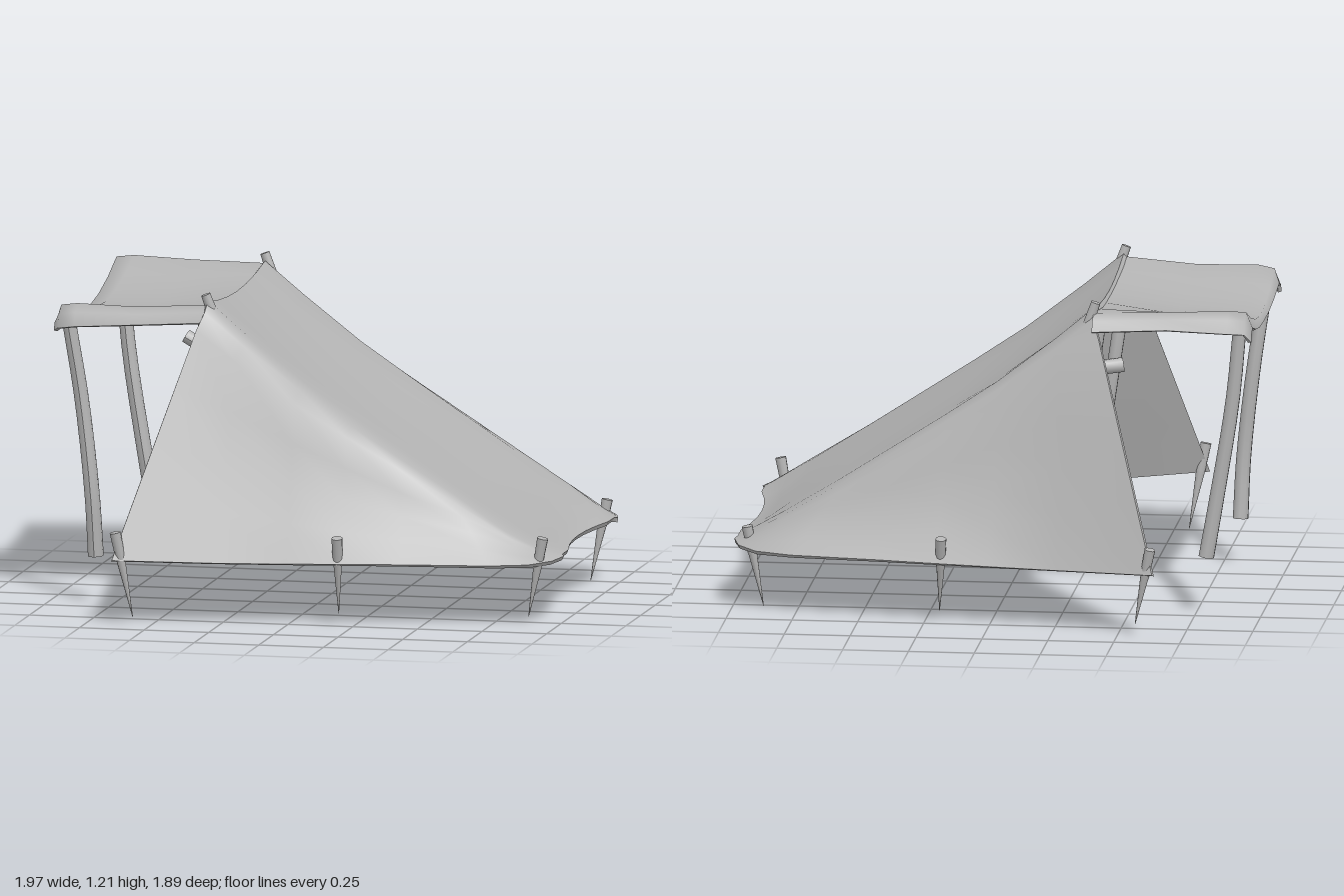
import * as THREE from 'three';

const grey = new THREE.MeshStandardMaterial({ color: 0xb4b4b4, side: THREE.DoubleSide });
grey.name = 'plain grey';
const V = (x, y, z) => new THREE.Vector3(x, y, z);

function add(parent, name, geometry) {
  const mesh = new THREE.Mesh(geometry, grey);
  mesh.name = name;
  parent.add(mesh);
  return mesh;
}

// Thin cloth from rows of points: rows run along +x, columns from +z to -z
function cloth(rows, thickness) {
  const n = rows.length, m = rows[0].length;
  const top = [];
  const id = (i, j) => i * m + j;
  for (let i = 0; i < n - 1; i++) for (let j = 0; j < m - 1; j++) {
    const a = id(i, j), b = id(i + 1, j), c = id(i, j + 1), d = id(i + 1, j + 1);
    top.push(a, b, c, b, d, c);
  }
  const outer = rows.flat();
  const skin = new THREE.BufferGeometry().setFromPoints(outer);
  skin.setIndex(top);
  skin.computeVertexNormals();
  const normals = skin.attributes.normal;
  const inner = outer.map((p, k) =>
    p.clone().addScaledVector(V().fromBufferAttribute(normals, k), -thickness));

  // Perimeter of the sheet, used for the hem
  const loop = [];
  for (let i = 0; i < n - 1; i++) loop.push(id(i, 0));
  for (let j = 0; j < m - 1; j++) loop.push(id(n - 1, j));
  for (let i = n - 1; i > 0; i--) loop.push(id(i, m - 1));
  for (let j = m - 1; j > 0; j--) loop.push(id(0, j));

  const points = [...outer, ...inner];
  const index = [...top];
  for (let k = 0; k < top.length; k += 3) {
    index.push(top[k] + outer.length, top[k + 2] + outer.length, top[k + 1] + outer.length);
  }
  loop.forEach((a, k) => {
    const b = loop[(k + 1) % loop.length], s = points.length;
    points.push(inner[a], inner[b], outer[b], outer[a]);
    index.push(s, s + 1, s + 2, s, s + 2, s + 3);
  });
  const geometry = new THREE.BufferGeometry().setFromPoints(points);
  geometry.setIndex(index);
  geometry.computeVertexNormals();
  return geometry;
}

// Capped round pole bent along a curve
function pole(points, radius, endRadius = radius) {
  const curve = new THREE.CatmullRomCurve3(points.map((p) => V(...p)));
  const geometry = new THREE.CylinderGeometry(endRadius, radius, 1, 10, 10);
  const pos = geometry.attributes.position;
  for (let i = 0; i < pos.count; i++) {
    const u = THREE.MathUtils.clamp(pos.getY(i) + 0.5, 0, 1);
    const t = curve.getTangent(u);
    const a = t.clone().cross(V(0, 0, 1)).normalize();
    const b = a.clone().cross(t);
    const p = curve.getPoint(u).addScaledVector(a, pos.getX(i)).addScaledVector(b, pos.getZ(i));
    pos.setXYZ(i, p.x, p.y, p.z);
  }
  geometry.computeVertexNormals();
  return geometry;
}

// Straight tapered rod between two points
function rod(parent, name, from, to, r0, r1) {
  const a = V(...from), b = V(...to), d = b.clone().sub(a);
  const mesh = add(parent, name, new THREE.CylinderGeometry(r1, r0, d.length(), 10));
  mesh.position.copy(a).add(b).multiplyScalar(0.5);
  mesh.quaternion.setFromUnitVectors(V(0, 1, 0), d.normalize());
}

// Main sheet: crease x and y, shoulder z, hem x, y and z, hollow of the side wall
function mainSheet() {
  const stations = [
    [-0.37, 1.18, 0.585, -0.64, 0.25, 0.945, 0], [-0.22, 1.055, 0.59, -0.27, 0.235, 0.83, 0.01],
    [0, 0.885, 0.59, 0, 0.235, 0.79, 0.015], [0.2, 0.75, 0.59, 0.2, 0.24, 0.78, 0.02],
    [0.4, 0.62, 0.585, 0.43, 0.24, 0.74, 0.02], [0.6, 0.49, 0.58, 0.76, 0.24, 0.695, 0.02],
    [0.8, 0.365, 0.56, 0.9, 0.24, 0.64, 0.01], [0.93, 0.285, 0.52, 0.975, 0.245, 0.56, 0],
    [0.99, 0.255, 0.44, 1.0, 0.25, 0.465, 0],
  ];
  return stations.map(([cx, cy, sz, bx, by, bz, hollow], row) => {
    const k = Math.max(0, (cy - 0.245) / 0.93);
    const bow = row > 6 ? 0.04 : 0;
    const roofPoint = (f) => {
      const dip = 1 - f * f;
      return V(cx - bow * dip, cy - 0.04 * dip * k, f * (sz - 0.1));
    };
    const half = (s) => {
      const hem = V(bx, by, s * bz);
      const shoulder = V(cx - 0.025 * k, cy - 0.1 * k, s * sz);
      const pts = [0, 0.25, 0.5, 0.75, 1].map((t) => {
        const p = hem.clone().lerp(shoulder, t);
        return p.setZ(p.z - s * hollow * Math.sin(Math.PI * t));
      });
      pts.push(V(cx, cy - 0.035 * k, s * (sz - 0.035)));
      return pts;
    };
    const roof = [1, 0.66, 0.33, 0, -0.33, -0.66, -1].map(roofPoint);
    return [...half(1), ...roof, ...half(-1).reverse()].map((p) => p.setZ(p.z - 0.008));
  });
}

// Awning: x, corner height, hem drop, half width, middle sag, lift of the far side
function awningSheet() {
  const stations = [
    [-0.968, 1.09, 0.045, 0.5, 0.055, 0.02], [-0.945, 1.14, 0.08, 0.535, 0.08, 0.04],
    [-0.88, 1.15, 0.08, 0.55, 0.07, 0.035], [-0.65, 1.145, 0.06, 0.555, 0.055, 0.03],
    [-0.37, 1.165, 0.06, 0.572, 0.035, 0],
  ];
  return stations.map(([x, y, drop, w, sag, lift], row) =>
    [1, 0.97, 0.88, 0.6, 0.3, 0, -0.3, -0.6, -0.88, -0.97, -1].map((f) => {
      const g = Math.abs(f);
      let h = y - sag * Math.max(0, 1 - (g / 0.88) ** 2);
      if (g === 1) h -= drop;
      else if (g === 0.97) h -= drop * 0.35;
      if (f < 0) h += lift * g;
      const inset = row === 0 ? 0.012 * (1 - g) : 0;
      return V(x + inset, h, f * w - 0.025);
    }));
}

export function createModel() {
  const model = new THREE.Group();
  model.name = 'leanToTent';
  add(model, 'mainCanvas', cloth(mainSheet(), 0.018));
  add(model, 'awningCanvas', cloth(awningSheet(), 0.014));

  // Wooden frame
  const frame = new THREE.Group();
  frame.name = 'frame';
  model.add(frame);
  add(frame, 'frontAwningPost', pole(
    [[-0.82, 0.18, 0.41], [-0.83, 0.42, 0.43], [-0.87, 0.78, 0.43], [-0.915, 1.08, 0.45]], 0.03, 0.026));
  add(frame, 'backAwningPost', pole(
    [[-0.79, 0.22, -0.46], [-0.83, 0.45, -0.46], [-0.89, 0.82, -0.47], [-0.92, 1.12, -0.48]], 0.03, 0.026));
  add(frame, 'frontRafter', pole(
    [[0.78, 0.235, 0.44], [0.4, 0.48, 0.45], [0, 0.77, 0.45], [-0.46, 1.04, 0.46]], 0.026));
  add(frame, 'backRafter', pole(
    [[0.78, 0.235, -0.44], [0.4, 0.48, -0.45], [0, 0.76, -0.46], [-0.3, 0.92, -0.46], [-0.47, 0.945, -0.42]], 0.028));
  for (const s of [1, -1]) {
    add(frame, 'ridgePost', pole(
      [[-0.27, 0.21, s * 0.45], [-0.29, 0.45, s * 0.47], [-0.34, 0.8, s * 0.46], [-0.385, 1.1, s * 0.48]], 0.028, 0.025));
    rod(frame, 'ridgePin', [-0.345, 1.11, s * 0.5 - 0.025], [-0.378, 1.205, s * 0.505 - 0.02], 0.021, 0.018);
  }

  // Ground pegs: head position, then spike tip
  const pegs = [
    [[-0.63, 0.355, 0.92], [-0.57, 0.03, 0.885]], [[-0.63, 0.345, -0.93], [-0.57, 0.05, -0.9]],
    [[0.195, 0.34, 0.775], [0.185, 0.04, 0.7]], [[0.18, 0.335, -0.785], [0.195, 0.04, -0.7]],
    [[0.945, 0.335, 0.575], [0.885, 0.03, 0.55]], [[0.945, 0.31, -0.53], [0.885, 0, -0.51]],
  ];
  for (const [head, tip] of pegs) {
    const peg = new THREE.Group();
    peg.name = 'groundPeg';
    model.add(peg);
    const neck = head.map((v, i) => v + (tip[i] - v) * 0.33);
    rod(peg, 'pegHead', neck, head, 0.018, 0.021);
    rod(peg, 'pegSpike', neck, tip, 0.017, 0.001);
  }
  return model;
}
